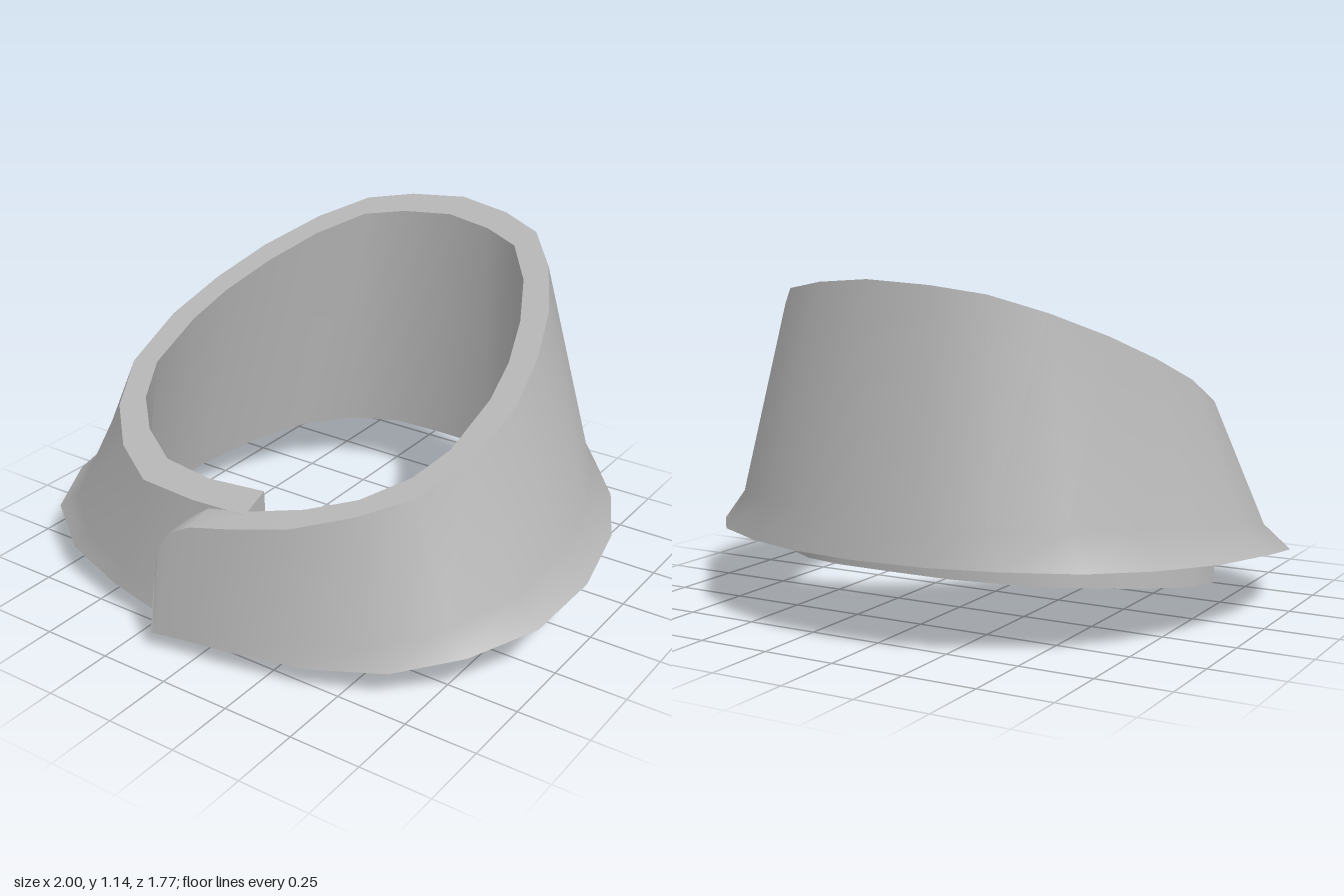
import * as THREE from 'three';

// Height rules: sloping rim plane, lower lining edge, and curved hem
const rimY = z => 0.82 - 0.41 * z;
const liningY = z => Math.max(0.11 - 0.16 * z, 0.005, 0.02 + 0.7 * (z - 0.73));
const HEM = [[-0.89, 0.3], [-0.24, 0.26], [0.06, 0.24], [0.33, 0.2], [0.54, 0.16], [0.7, 0.11], [0.89, 0.067]];
function hemY(z) {
  let i = 0;
  while (i < HEM.length - 2 && z > HEM[i + 1][0]) i++;
  const [a, b] = [HEM[i], HEM[i + 1]];
  return THREE.MathUtils.mapLinear(z, a[0], b[0], a[1], b[1]);
}

// Full ring from the tab end, round the back, to the flap end.
// half runs from back centre to the side; points are [x, z, optional y]
function ring(half, tab, flap, yRule) {
  const mirrored = half.slice(1).map(([x, z]) => [-x, z]);
  return [...tab.slice().reverse(), ...mirrored.reverse(), ...half, ...flap]
    .map(([x, z, y]) => new THREE.Vector3(x, y ?? yRule(z), z));
}

// Smooth sheet lofted through rows of points
function sheet(name, rows, material) {
  const n = rows[0].length;
  const index = [];
  for (let r = 0; r < rows.length - 1; r++) {
    for (let i = 0; i < n - 1; i++) {
      const a = r * n + i, b = a + n;
      index.push(a, b, a + 1, a + 1, b, b + 1);
    }
  }
  const geometry = new THREE.BufferGeometry().setFromPoints(rows.flat());
  geometry.setIndex(index);
  geometry.computeVertexNormals();
  const mesh = new THREE.Mesh(geometry, material);
  mesh.name = name;
  return mesh;
}

export function createModel() {
  const group = new THREE.Group();
  group.name = 'wrapCollar';
  const grey = new THREE.MeshStandardMaterial({ color: 0xb4b4b4, side: THREE.DoubleSide });
  grey.name = 'plain grey';

  const hem = ring(
    [[0, -0.89], [0.24, -0.865], [0.45, -0.79], [0.67, -0.66], [0.82, -0.48], [0.94, -0.24], [1, 0.06], [0.97, 0.33]],
    [[-0.88, 0.54], [-0.68, 0.68, 0.12], [-0.42, 0.755, 0.095], [-0.15, 0.79, 0.065], [0.13, 0.735, 0.015]],
    [[0.84, 0.54], [0.65, 0.69], [0.4, 0.79], [0.13, 0.84], [-0.02, 0.86], [-0.1, 0.873], [-0.14, 0.88], [-0.15, 0.885]],
    hemY);
  const rim = ring(
    [[0, -0.79], [0.2, -0.755], [0.36, -0.69], [0.49, -0.545], [0.6, -0.35], [0.67, -0.15], [0.71, 0.06], [0.695, 0.3]],
    [[-0.6, 0.49], [-0.46, 0.63], [-0.29, 0.725], [-0.08, 0.735], [0.13, 0.725]],
    [[0.6, 0.49], [0.47, 0.61], [0.3, 0.72], [0.11, 0.79], [-0.02, 0.82, 0.475], [-0.09, 0.833, 0.44],
      [-0.135, 0.84, 0.38], [-0.15, 0.845, 0.31]],
    rimY);
  const innerRim = ring(
    [[0, -0.69], [0.18, -0.66], [0.32, -0.605], [0.44, -0.46], [0.53, -0.28], [0.59, -0.1], [0.615, 0.06], [0.605, 0.28]],
    [[-0.53, 0.43], [-0.42, 0.54], [-0.27, 0.625], [-0.08, 0.645], [0.13, 0.625]],
    [[0.55, 0.42], [0.44, 0.55], [0.3, 0.64], [0.13, 0.71], [0, 0.745, 0.515], [-0.08, 0.77, 0.46],
      [-0.13, 0.785, 0.39], [-0.15, 0.79, 0.31]],
    rimY);
  const liningHem = ring(
    [[0, -0.67], [0.2, -0.665], [0.37, -0.605], [0.52, -0.48], [0.64, -0.28], [0.71, -0.08], [0.735, 0.06], [0.715, 0.3]],
    [[-0.6, 0.42], [-0.45, 0.5], [-0.3, 0.565], [-0.1, 0.61], [0.13, 0.6]],
    [[0.62, 0.48], [0.47, 0.61], [0.32, 0.68], [0.13, 0.73], [-0.02, 0.765], [-0.09, 0.785], [-0.14, 0.8], [-0.15, 0.8]],
    liningY);

  // Ring just above the hem, pulled in so the sides flare out at the bottom
  const flare = hem.map((p, i) => {
    const q = p.clone().lerp(rim[i], 0.16);
    q.x *= 0.945;
    return q;
  });

  group.add(
    sheet('outerShell', [hem, flare, rim], grey),
    sheet('topRim', [rim, innerRim], grey),
    sheet('innerLining', [innerRim, liningHem], grey));

  // Closed ends of the overlapping tab and flap
  const last = hem.length - 1;
  group.add(
    sheet('tabEnd', [[liningHem[0], hem[0]], [innerRim[0], rim[0]]], grey),
    sheet('flapEnd', [[hem[last], liningHem[last]], [rim[last], innerRim[last]]], grey));
  return group;
}
